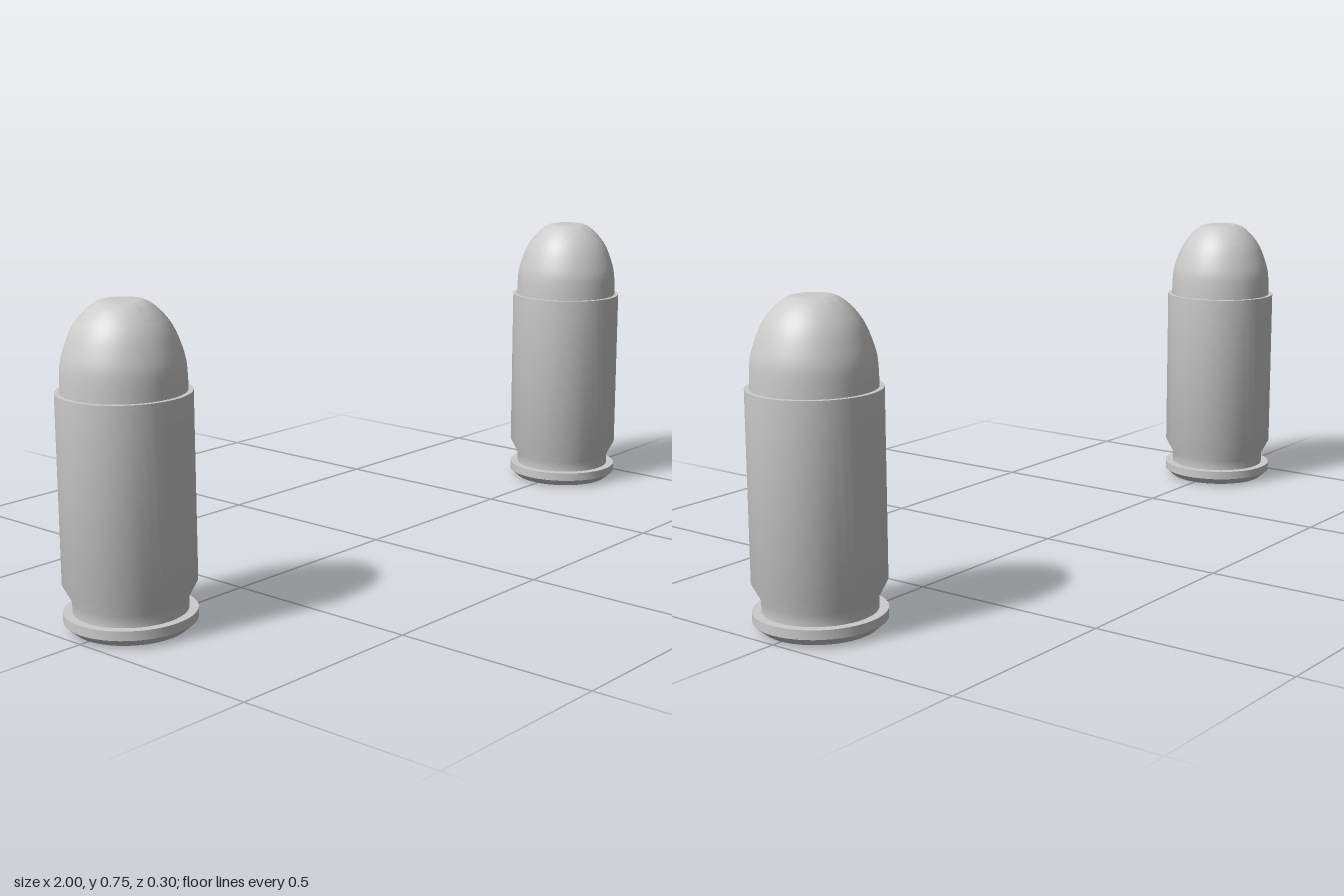
import * as THREE from 'three';
import { toCreasedNormals } from 'three/addons/utils/BufferGeometryUtils.js';

const material = new THREE.MeshStandardMaterial({ color: 0xcccccc });
const SEGMENTS = 48;

// Revolve a bottom-to-top [radius, height] profile, keeping sharp edges crisp
function turned(name, points) {
  const profile = points.map(([r, y]) => new THREE.Vector2(r, y));
  const geometry = toCreasedNormals(new THREE.LatheGeometry(profile, SEGMENTS), 0.5);
  const mesh = new THREE.Mesh(geometry, material);
  mesh.name = name;
  return mesh;
}

function createCartridge(name) {
  const cartridge = new THREE.Group();
  cartridge.name = name;

  // Case: bevelled rim, extractor groove, straight wall and mouth lip
  cartridge.add(turned('case', [
    [0, 0.002], [0.129, 0.002], [0.151, 0.021], [0.151, 0.043],
    [0.13, 0.043], [0.13, 0.07], [0.151, 0.11], [0.151, 0.543], [0.139, 0.543],
  ]));

  // Primer disc, slightly proud of the base
  cartridge.add(turned('primer', [[0, 0], [0.073, 0], [0.073, 0.004]]));

  // Bullet: rounded ogive with a softly flattened nose
  const ogive = new THREE.SplineCurve([
    [0.14, 0.53], [0.139, 0.575], [0.136, 0.61], [0.126, 0.645], [0.112, 0.679],
    [0.094, 0.706], [0.07, 0.73], [0.048, 0.742], [0.025, 0.744], [0, 0.745],
  ].map(([r, y]) => new THREE.Vector2(r, y)));
  const points = ogive.getPoints(32).map((p) => [Math.max(p.x, 0), p.y]);
  cartridge.add(turned('bullet', points));

  return cartridge;
}

export function createModel() {
  const model = new THREE.Group();
  model.name = 'cartridgePair';
  for (const side of [-1, 1]) {
    const cartridge = createCartridge(side > 0 ? 'leftCartridge' : 'rightCartridge');
    cartridge.position.x = side * 0.849;
    model.add(cartridge);
  }
  return model;
}
